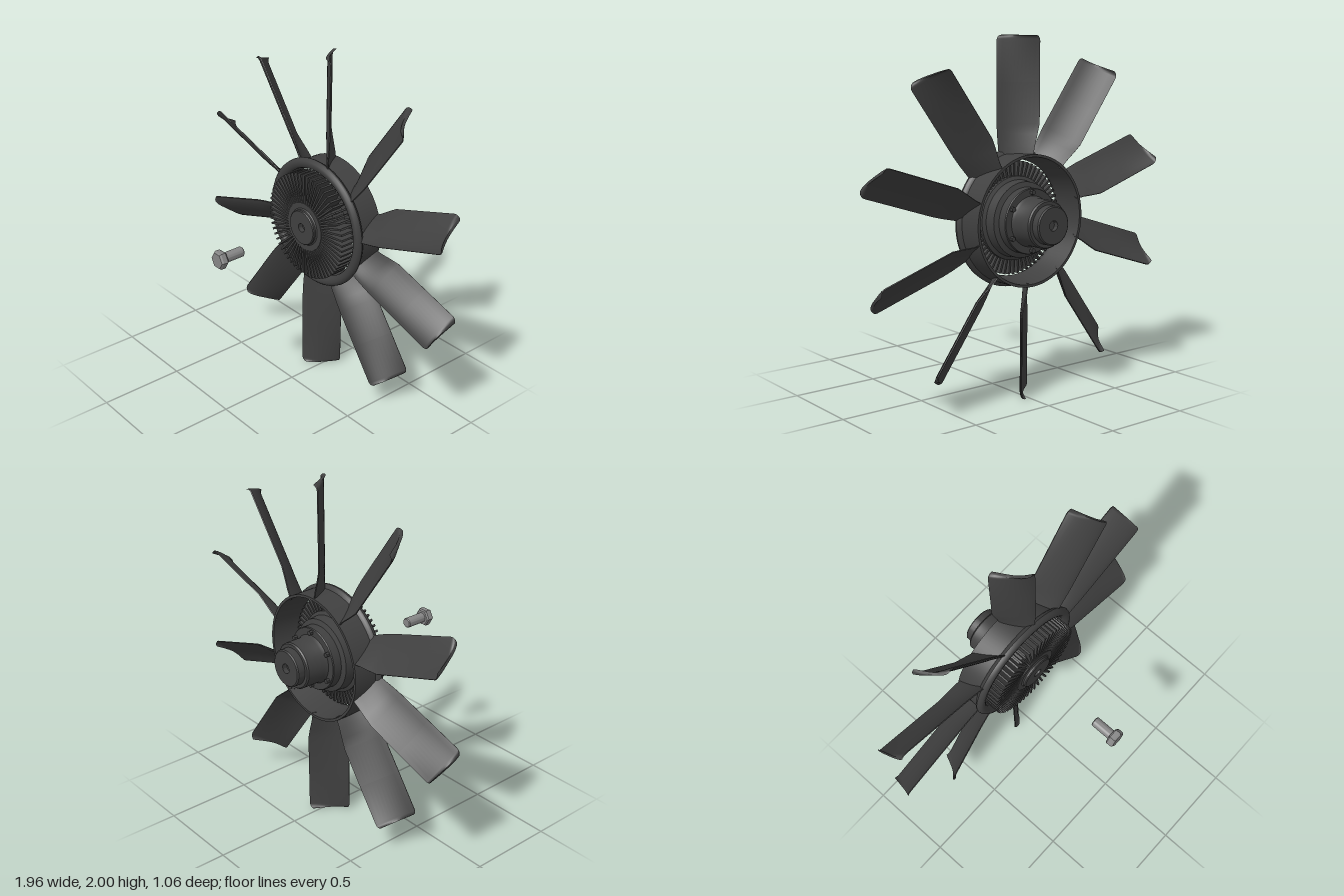
import * as THREE from 'three';
import { toCreasedNormals } from 'three/addons/utils/BufferGeometryUtils.js';

const dark = new THREE.MeshStandardMaterial({ color: 0x404040 });
const steel = new THREE.MeshStandardMaterial({ color: 0x868686 });

function add(parent, name, geometry, material = dark) {
  const mesh = new THREE.Mesh(geometry, material);
  mesh.name = name;
  parent.add(mesh);
  return mesh;
}

// Turned part around the z axis from [radius, z] pairs
function turned(profile, segments = 72) {
  const points = profile.map(([r, z]) => new THREE.Vector2(r, z));
  return toCreasedNormals(new THREE.LatheGeometry(points, segments).rotateX(Math.PI / 2), 0.6);
}

// Cambered, twisted blade pointing up, with rounded tip corners
function bladeGeometry() {
  const n = 12, ring = 2 * (n + 1), corner = 0.03;
  // Rows: [radius, back edge x, front edge x]
  const rows = [[0.345, -0.015, 0.095], [0.4, -0.025, 0.1], [0.47, -0.045, 0.107],
    [0.53, -0.06, 0.11], [0.75, -0.06, 0.11], [1 - corner, -0.06, 0.11]];
  for (let k = 1; k <= 5; k++) {
    const a = (k / 5) * Math.PI / 2, inset = corner * (1 - Math.cos(a));
    rows.push([1 - corner + corner * Math.sin(a), -0.06 + inset, 0.11 - inset]);
  }
  const pos = [], index = [];
  for (const [y, x0, x1] of rows) {
    for (let i = 0; i < ring; i++) {
      const front = i <= n;
      const t = (front ? i : ring - 1 - i) / n;
      const half = (front ? 1 : -1) * (0.003 + 0.005 * Math.sqrt(4 * t * (1 - t)));
      const x = x0 + (x1 - x0) * t;
      const z = -0.337 + 0.16 * (t + 0.5 * t * (1 - t));
      pos.push(x - half * 0.65, y, z + half * 0.75);
    }
  }
  const quad = (a, b, c, d) => index.push(a, b, c, a, c, d);
  for (let j = 0; j < rows.length - 1; j++) {
    for (let i = 0; i < ring; i++) {
      const a = j * ring + i, b = j * ring + (i + 1) % ring;
      quad(a, b, b + ring, a + ring);
    }
  }
  // Tip and root caps
  const top = (rows.length - 1) * ring;
  for (let i = 0; i < n; i++) {
    const f0 = i, f1 = i + 1, b0 = ring - 1 - i, b1 = ring - 2 - i;
    quad(top + f0, top + f1, top + b1, top + b0);
    quad(f0, b0, b1, f1);
  }
  const g = new THREE.BufferGeometry();
  g.setAttribute('position', new THREE.Float32BufferAttribute(pos, 3));
  g.setIndex(index);
  return toCreasedNormals(g, 0.6);
}

export function createModel() {
  const model = new THREE.Group();
  model.name = 'coolingFan';

  const fan = new THREE.Group();
  fan.name = 'fan';
  fan.position.y = 1;
  model.add(fan);

  // Blades
  const blade = bladeGeometry();
  for (let i = 0; i < 10; i++) {
    add(fan, 'blade', blade).rotation.z = (i * Math.PI) / 5;
  }

  // Hollow ring with a rounded front lip
  add(fan, 'hubRing', turned([
    [0.35, -0.345], [0.365, -0.345], [0.366, -0.205], [0.38, -0.195], [0.386, -0.182],
    [0.383, -0.168], [0.373, -0.157], [0.36, -0.153], [0.343, -0.156], [0.33, -0.165],
    [0.325, -0.178], [0.328, -0.2], [0.35, -0.345],
  ], 96));

  // Clutch housing with front boss and stepped rear shaft
  add(fan, 'clutchHousing', turned([
    [0, -0.5], [0.028, -0.5], [0.028, -0.528], [0.1, -0.528], [0.107, -0.522], [0.107, -0.48],
    [0.125, -0.48], [0.132, -0.472], [0.132, -0.365], [0.14, -0.345], [0.178, -0.345],
    [0.182, -0.34], [0.182, -0.29], [0.21, -0.28], [0.215, -0.22], [0.235, -0.21],
    [0.235, -0.13], [0.15, -0.118], [0.145, -0.092], [0.112, -0.092], [0.105, -0.086],
    [0.105, -0.075], [0.1, -0.07], [0.026, -0.07], [0.026, -0.1], [0, -0.1],
  ]));

  // Radial cooling fins
  const fin = new THREE.BoxGeometry(0.177, 0.011, 0.1).translate(0.2285, 0, -0.145);
  for (let i = 0; i < 60; i++) {
    add(fan, 'coolingFin', fin).rotation.z = (i * Math.PI) / 30;
  }

  // Small bolts on the rear flange
  const flangeBolt = new THREE.CylinderGeometry(0.014, 0.014, 0.024, 6)
    .rotateX(Math.PI / 2).translate(0, 0.16, -0.352);
  for (let i = 0; i < 6; i++) {
    add(fan, 'flangeBolt', toCreasedNormals(flangeBolt, 0.6)).rotation.z = (i * Math.PI) / 3;
  }

  // Separate hex bolt in front of the hub
  const bolt = new THREE.Group();
  bolt.name = 'centreBolt';
  bolt.position.y = 1;
  model.add(bolt);
  const hex = (rFront, rBack, z0, z1) => toCreasedNormals(
    new THREE.CylinderGeometry(rFront, rBack, z1 - z0, 6)
      .rotateX(Math.PI / 2).rotateZ(Math.PI / 6 + Math.PI / 3).translate(0, 0, (z0 + z1) / 2), 0.3);
  const turn = hex(0.054, 0.054, 0.49, 0.518);
  // Put two corners of the hexagon on the x axis
  const spin = new THREE.Group();
  spin.name = 'boltHead';
  spin.rotation.z = Math.PI / 6 - Math.PI / 6;
  bolt.add(spin);
  add(spin, 'headSides', turn, steel);
  add(spin, 'headFrontChamfer', hex(0.047, 0.054, 0.518, 0.528), steel);
  add(spin, 'headBackChamfer', hex(0.054, 0.047, 0.482, 0.49), steel);
  add(bolt, 'boltShank', turned([
    [0, 0.358], [0.025, 0.358], [0.029, 0.363], [0.029, 0.485], [0, 0.485],
  ], 32), steel);

  return model;
}
